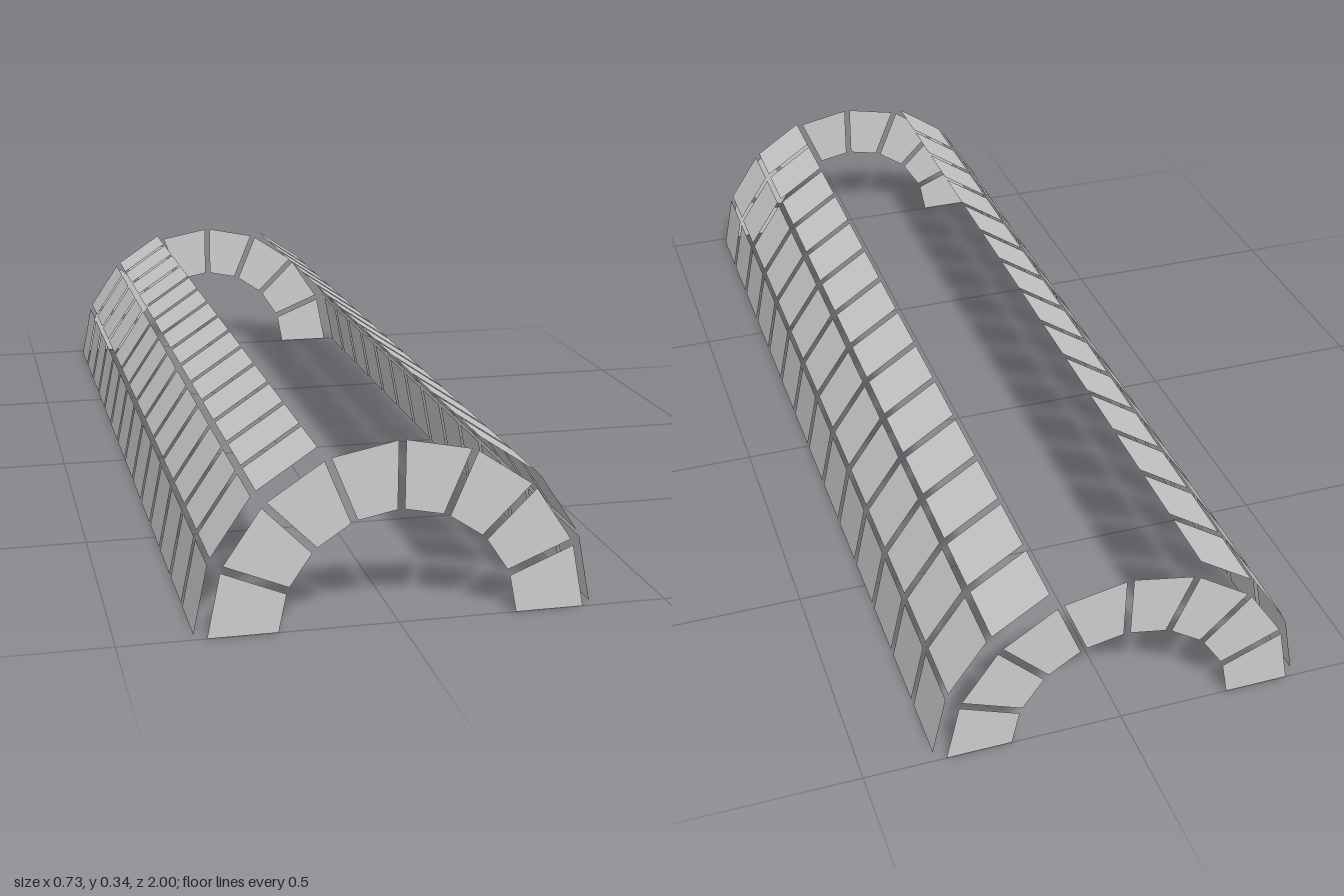
import * as THREE from 'three';

const SECTORS = 8;              // facets in the half-round section
const STEP = Math.PI / SECTORS;
const LIFT = -0.0064;           // drops the lowest edges onto the ground
const COLUMNS = 14;             // panels along each side row
const PITCH = 0.1411;

export function createModel() {
  const group = new THREE.Group();
  group.name = 'panelledVault';
  const material = new THREE.MeshStandardMaterial({
    color: 0xcccccc, flatShading: true, side: THREE.DoubleSide,
  });

  // wedge-shaped end plate, pointing along +x
  const wedge = new THREE.ShapeGeometry(new THREE.Shape([
    new THREE.Vector2(0.2135, -0.036),
    new THREE.Vector2(0.337, -0.0605),
    new THREE.Vector2(0.337, 0.0605),
    new THREE.Vector2(0.2135, 0.036),
  ]));

  // flat side panel facing +x, at its distance from the axis
  const panel = new THREE.PlaneGeometry(0.1245, 0.129);
  panel.rotateY(Math.PI / 2).translate(0.357, 0, 0);

  const add = (parent, name, geometry, sector, z) => {
    const mesh = new THREE.Mesh(geometry, material);
    mesh.name = name;
    mesh.rotation.z = (sector + 0.5) * STEP;
    mesh.position.set(0, LIFT, z);
    parent.add(mesh);
  };

  // arches of eight plates closing the front and back
  for (const [name, z] of [['frontArch', 1], ['backArch', -1]]) {
    const arch = new THREE.Group();
    arch.name = name;
    for (let s = 0; s < SECTORS; s++) add(arch, 'archPlate', wedge, s, z);
    group.add(arch);
  }

  // three rows of panels on each side, leaving the crown open
  for (const [name, sectors] of [['leftSide', [0, 1, 2]], ['rightSide', [7, 6, 5]]]) {
    const side = new THREE.Group();
    side.name = name;
    for (const s of sectors) {
      for (let i = 0; i < COLUMNS; i++) {
        add(side, 'sidePanel', panel, s, (i - (COLUMNS - 1) / 2) * PITCH);
      }
    }
    group.add(side);
  }
  return group;
}
